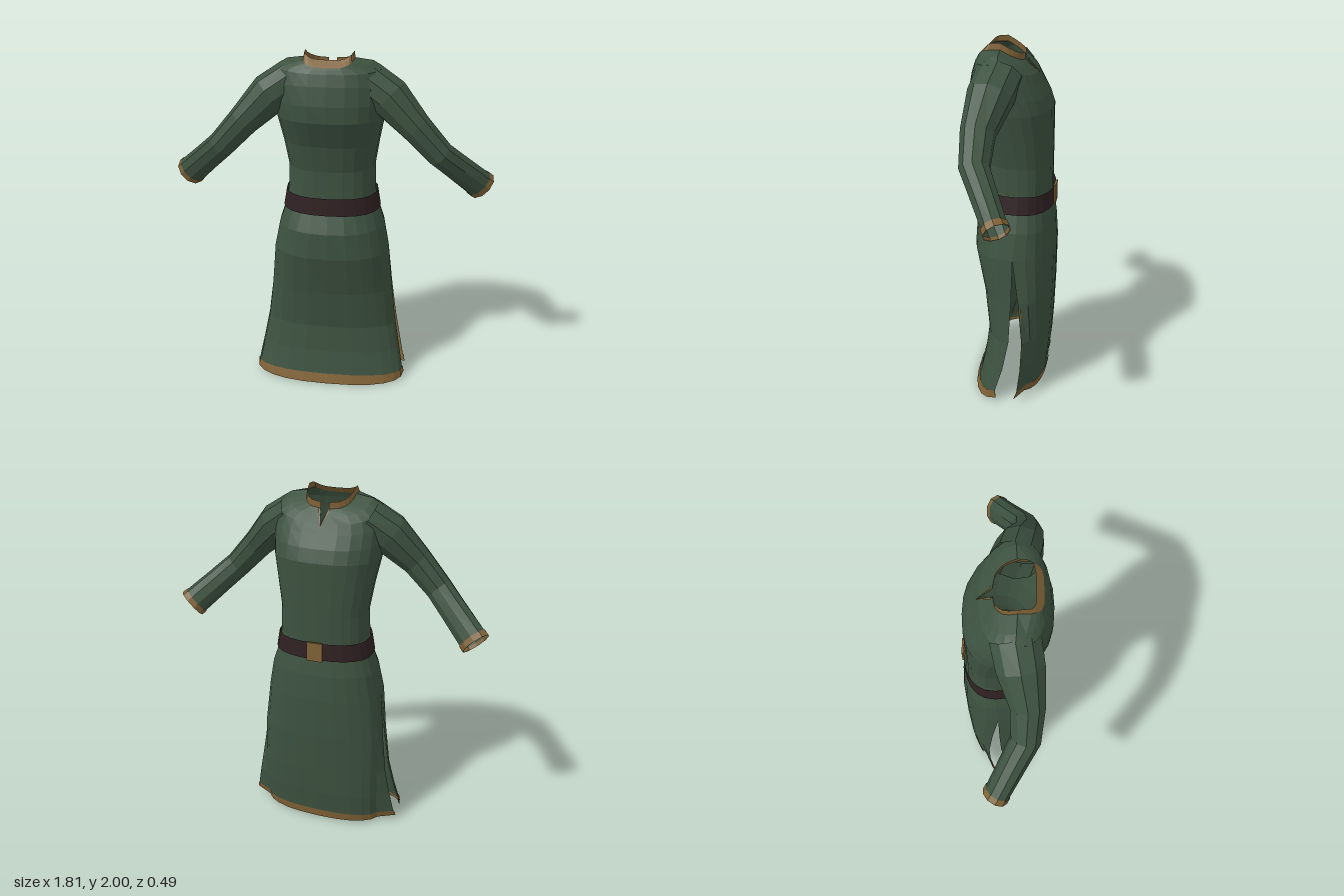
import * as THREE from 'three';

const mat = (name, color) => {
  const m = new THREE.MeshStandardMaterial({ color, flatShading: true, side: THREE.DoubleSide });
  m.name = name;
  return m;
};
const V = (x, y, z) => new THREE.Vector3(x, y, z);
const mix = (rowA, rowB, t) => rowA.map((p, j) => p.clone().lerp(rowB[j], t));

// Skin a surface over rows of points
function loft(rows) {
  const n = rows[0].length, index = [];
  for (let i = 0; i < rows.length - 1; i++)
    for (let j = 0; j < n - 1; j++) {
      const a = i * n + j, b = a + 1, d = a + n, c = d + 1;
      index.push(a, d, c, a, c, b);
    }
  const g = new THREE.BufferGeometry().setFromPoints(rows.flat());
  g.setIndex(index);
  g.computeVertexNormals();
  return g;
}

// Garment sections: side y, half width, side z (+z half, -z half), centre z (+z, -z), centre y (+z, -z)
const sections = [
  [0.03, 0.452, 0.045, -0.06, 0.205, -0.2, 0.003, 0.015],
  [0.07, 0.445, 0.05, -0.075, 0.185, -0.205, 0.06, 0.065],
  [0.2, 0.42, 0.01, -0.09, 0.155, -0.22, 0.2, 0.2],
  [0.36, 0.39, -0.02, -0.095, 0.135, -0.23, 0.36, 0.36],
  [0.6, 0.36, -0.03, -0.07, 0.165, -0.24, 0.6, 0.6],
  [0.85, 0.335, -0.035, -0.035, 0.22, -0.245, 0.85, 0.85],
  [1.0, 0.305, -0.05, -0.05, 0.21, -0.235, 1.0, 1.0],
  [1.1, 0.27, -0.05, -0.05, 0.165, -0.22, 1.1, 1.1],
  [1.2, 0.25, -0.05, -0.05, 0.155, -0.215, 1.2, 1.2],
  [1.35, 0.245, -0.05, -0.05, 0.15, -0.215, 1.35, 1.35],
  [1.5, 0.268, -0.03, -0.03, 0.18, -0.215, 1.5, 1.5],
  [1.65, 0.295, 0, 0, 0.245, -0.215, 1.65, 1.65],
  [1.74, 0.3, 0.02, 0.02, 0.245, -0.19, 1.74, 1.72],
  [1.83, 0.3, 0.04, 0.04, 0.225, -0.15, 1.84, 1.79],
  [1.92, 0.28, 0.05, 0.05, 0.205, -0.125, 1.9, 1.835],
  [1.952, 0.23, 0.055, 0.055, 0.195, -0.09, 1.92, 1.87],
  [1.965, 0.135, 0.06, 0.06, 0.187, -0.06, 1.93, 1.9],
];
const SEG = 12, MID = SEG / 2, NECK = sections.length - 1, SLIT_TOP = 5;

// One half section; side = 1 for the +z half, -1 for the -z half
function halfRow(k, side, grow = 0) {
  const [y, w, eF, eB, cF, cB, yF, yB] = sections[k];
  const edge = side > 0 ? eF : eB, mid = (side > 0 ? cF : cB) + side * grow, yMid = side > 0 ? yF : yB;
  const squareNeck = k === NECK && side > 0;
  const p = squareNeck ? 0.5 : 0.82;
  const row = [];
  for (let j = 0; j <= SEG; j++) {
    const a = (Math.PI * j) / SEG, c = Math.cos(a);
    const t = Math.pow(Math.max(Math.sin(a), 0), p);
    // the -z skirt is narrower, with only its slit edges flaring out
    const half = side > 0 || j % SEG === 0 ? w : Math.min(w, 0.36);
    const x = j === MID ? 0 : side * (half + grow) * Math.sign(c) * Math.pow(Math.abs(c), p);
    row.push(V(x, y + (yMid - y) * (squareNeck ? t ** 4 : t), edge + (mid - edge) * t));
  }
  // neck slit: the centre of the top rows drops to the row below
  if (side < 0 && k > NECK - 2) {
    row[MID].set(0, sections[NECK - 2][7], sections[NECK - 2][5]);
    row[MID - 1].x *= 0.5;
    row[MID + 1].x *= 0.5;
  }
  return row;
}

// Sleeve stations: centre x, y, z, then radius across and along depth
const sleeve = [
  [0.2, 1.848, 0.05, 0.105, 0.13],
  [0.322, 1.762, 0.078, 0.112, 0.125],
  [0.468, 1.615, 0.115, 0.085, 0.092],
  [0.6, 1.473, 0.108, 0.075, 0.08],
  [0.7, 1.38, 0.045, 0.077, 0.073],
  [0.82, 1.268, -0.03, 0.082, 0.067],
  [0.842, 1.247, -0.045, 0.083, 0.068],
];
function sleeveRows(s, grow = 0) {
  const pts = sleeve.map(([x, y, z]) => V(s * x, y, z));
  return sleeve.map(([, , , rv, rw], i) => {
    const t = pts[Math.min(i + 1, pts.length - 1)].clone().sub(pts[Math.max(i - 1, 0)]).normalize();
    const v = t.clone().cross(V(0, 0, 1)).normalize();
    const w = t.clone().cross(v);
    return Array.from({ length: 11 }, (_, j) => {
      const a = (j / 10) * Math.PI * 2;
      return pts[i].clone()
        .addScaledVector(v, (rv + grow) * Math.cos(a))
        .addScaledVector(w, -(rw + grow) * Math.sin(a));
    });
  });
}

export function createModel() {
  const group = new THREE.Group();
  group.name = 'tunic';
  const cloth = mat('green cloth', 0x3d5240);
  const trim = mat('gold trim', 0x806236);
  const leather = mat('dark leather', 0x302123);
  const add = (name, geometry, material) => {
    const m = new THREE.Mesh(geometry, material);
    m.name = name;
    group.add(m);
    return m;
  };

  for (const side of [1, -1]) {
    const label = side > 0 ? 'front' : 'back';
    const rows = sections.map((_, k) => halfRow(k, side));
    // body and skirt panel, open at the side slits below the hips
    add(label + 'Panel', loft(rows), cloth);
    add(label + 'Belt', loft([halfRow(7, side, 0.01), halfRow(8, side, 0.012)]), leather);

    // hem band on the outside of the cloth, with a narrow turned edge inside
    add(label + 'Hem', loft([halfRow(0, side, 0.005), halfRow(1, side, 0.005)]), trim);
    const inner = sections.slice(0, SLIT_TOP + 1).map((_, k) => halfRow(k, side, -0.004));
    add(label + 'HemLining', loft([inner[0], mix(inner[0], inner[1], 0.5)]), trim);

    // narrow edging inside both side slits
    for (const [edge, next] of [[0, 1], [SEG, SEG - 1]])
      add(label + 'SlitEdging', loft(inner.map((r) => [r[edge], r[edge].clone().lerp(r[next], 0.2)])), trim);

    // standing collar leaning inward, split at the neck slit
    const low = rows[NECK];
    const high = low.map((p) => V(p.x * 0.96, p.y + 0.035, p.z - Math.max(p.z - 0.06, 0) * 0.3));
    const spans = side > 0 ? [[0, SEG + 1]] : [[0, MID], [MID + 1, SEG + 1]];
    for (const [a, b] of spans) add(label + 'Collar', loft([low.slice(a, b), high.slice(a, b)]), trim);
  }

  // edging along the neck slit
  const neck = halfRow(NECK, -1);
  for (const j of [MID - 1, MID + 1]) {
    const line = [neck[j], neck[MID]].map((p) => p.clone().add(V(0, 0.002, -0.008)));
    const outer = [line[0].clone().add(V(Math.sign(neck[j].x) * 0.012, 0, 0)), line[1].clone().add(V(0, -0.012, -0.004))];
    add('neckSlitEdging', loft([line, outer]), trim);
  }

  // sleeves, with cuff bands around the wrists and a narrow turned edge inside
  for (const s of [1, -1]) {
    const label = s > 0 ? 'left' : 'right';
    add(label + 'Sleeve', loft(sleeveRows(s)), cloth);
    add(label + 'Cuff', loft(sleeveRows(s, 0.004).slice(-2)), trim);
    const [back, end] = sleeveRows(s, -0.003).slice(-2);
    add(label + 'CuffLining', loft([mix(back, end, 0.5), end]), trim);
  }

  // belt buckle
  add('buckle', new THREE.BoxGeometry(0.09, 0.11, 0.012), trim).position.set(0, 1.148, -0.232);
  return group;
}
